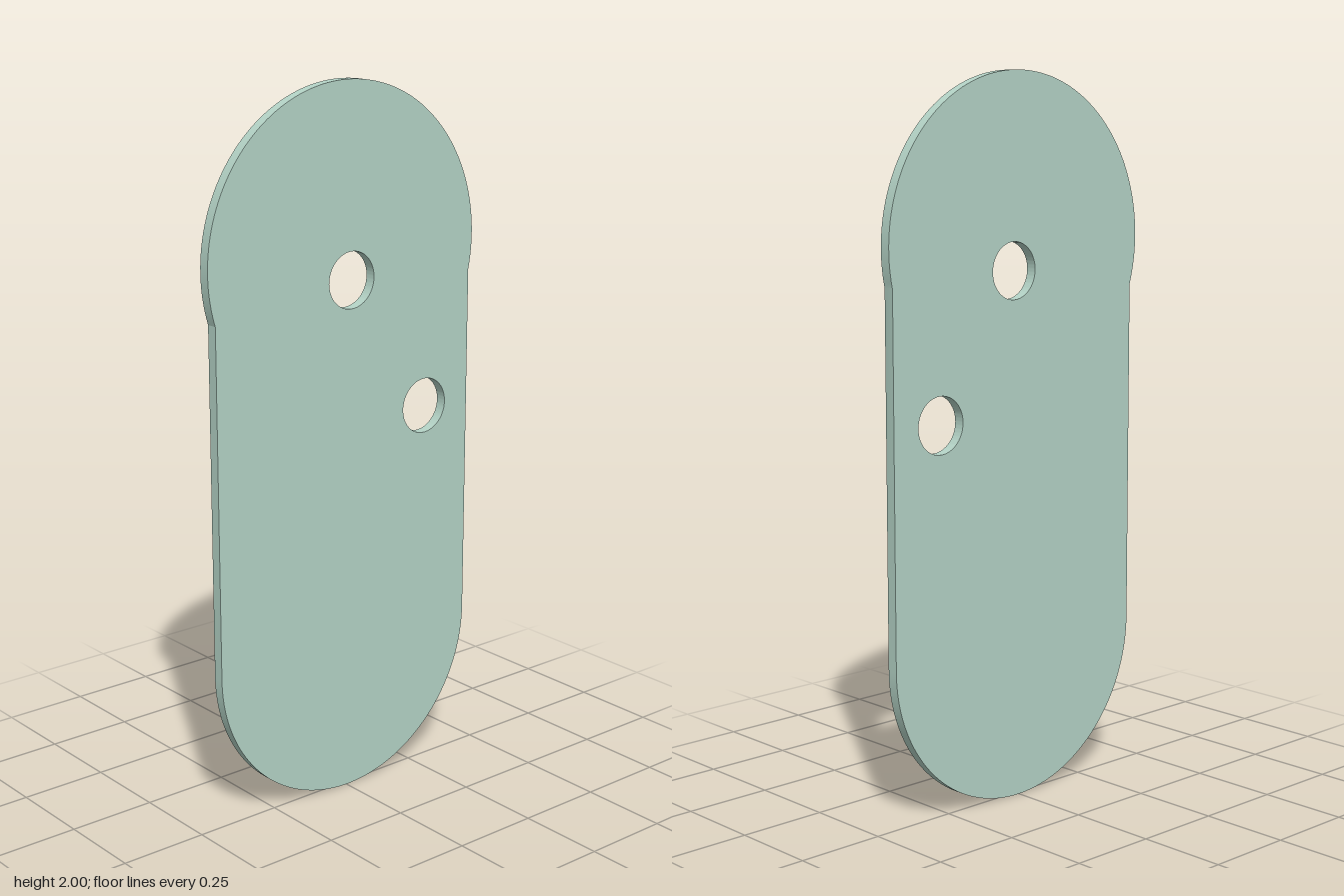
import * as THREE from 'three';
import { toCreasedNormals } from 'three/addons/utils/BufferGeometryUtils.js';

const THICKNESS = 0.031;
const BODY = { u: 0.005, y: 0.439, r: 0.439 };  // rounded lower end, sets the straight sides
const HEAD = { u: 0, y: 1.545, r: 0.455 };      // slightly wider round upper end
const HOLES = [[0.018, 1.469], [0.283, 1.077]];
const HOLE_RADIUS = 0.078;

export function createModel() {
  const group = new THREE.Group();
  group.name = 'drilledPlate';

  // Angles at which the straight sides meet the head circle
  const rightAngle = -Math.acos((BODY.u + BODY.r - HEAD.u) / HEAD.r);
  const leftAngle = 2 * Math.PI - Math.acos((BODY.u - BODY.r - HEAD.u) / HEAD.r);

  // Outline, drawn with u = -z
  const outline = new THREE.Shape();
  outline.absarc(BODY.u, BODY.y, BODY.r, Math.PI, 2 * Math.PI, false);
  outline.absarc(HEAD.u, HEAD.y, HEAD.r, rightAngle, leftAngle, false);
  outline.closePath();

  // Two through holes
  for (const [u, y] of HOLES) {
    const hole = new THREE.Path();
    hole.absarc(u, y, HOLE_RADIUS, 0, 2 * Math.PI, true);
    outline.holes.push(hole);
  }

  // Thin plate, turned so its faces look along x
  let geometry = new THREE.ExtrudeGeometry(outline, {
    depth: THICKNESS, bevelEnabled: false, curveSegments: 48,
  });
  geometry.translate(0, 0, -THICKNESS / 2);
  geometry.rotateY(Math.PI / 2);
  geometry = toCreasedNormals(geometry, 0.25);

  const plate = new THREE.Mesh(geometry, new THREE.MeshStandardMaterial({ color: 0xb4d3c6 }));
  plate.name = 'plate';
  group.add(plate);
  return group;
}
